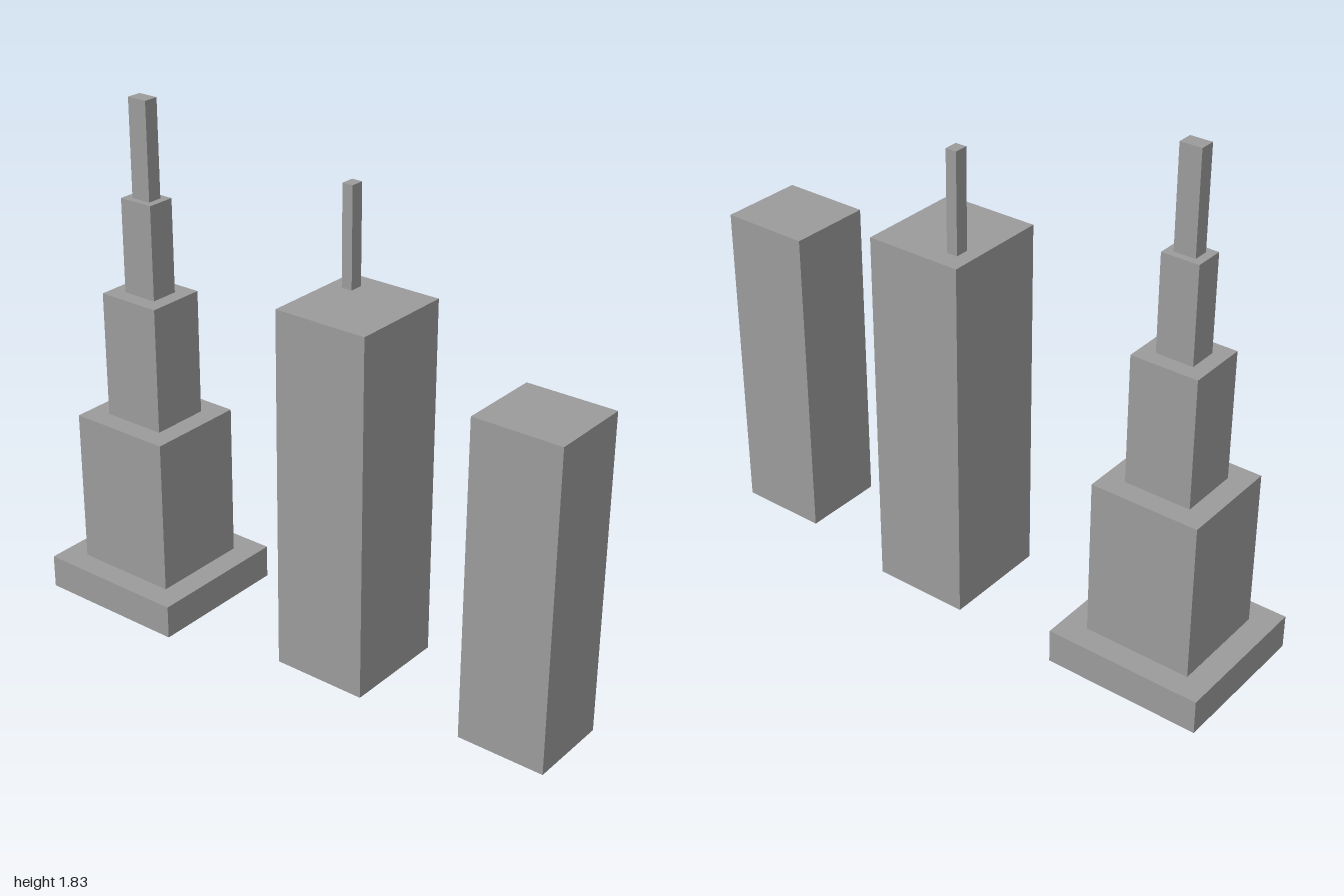
import * as THREE from 'three';

const material = new THREE.MeshStandardMaterial({ color: 0x9b9b9b });

// Box given by its extents along x, y and z
function block(name, [x0, x1], [y0, y1], [z0, z1]) {
  const mesh = new THREE.Mesh(new THREE.BoxGeometry(x1 - x0, y1 - y0, z1 - z0), material);
  mesh.name = name;
  mesh.position.set((x0 + x1) / 2, (y0 + y1) / 2, (z0 + z1) / 2);
  return mesh;
}

export function createModel() {
  const model = new THREE.Group();
  model.name = 'skyscrapers';

  // Plain front tower
  model.add(block('frontTower', [-0.12, 0.182], [0, 1.145], [0.68, 1]));

  // Middle tower with an off-centre rooftop antenna
  const middle = new THREE.Group();
  middle.name = 'middleTower';
  middle.add(
    block('middleTowerBody', [-0.143, 0.245], [0, 1.303], [-0.045, 0.303]),
    block('antenna', [0.127, 0.176], [1.303, 1.655], [0.007, 0.047])
  );
  model.add(middle);

  // Stepped rear tower: name, x extent, z extent, top height
  const stepped = new THREE.Group();
  stepped.name = 'steppedTower';
  const tiers = [
    ['podium', [-0.268, 0.268], [-1, -0.44], 0.122],
    ['lowerTier', [-0.183, 0.183], [-0.913, -0.527], 0.686],
    ['middleTier', [-0.108, 0.108], [-0.838, -0.6], 1.142],
    ['upperTier', [-0.052, 0.052], [-0.785, -0.653], 1.48],
    ['spire', [-0.027, 0.027], [-0.756, -0.68], 1.826],
  ];
  let bottom = 0;
  for (const [name, x, z, top] of tiers) {
    stepped.add(block(name, x, [bottom, top], z));
    bottom = top;
  }
  model.add(stepped);

  return model;
}
